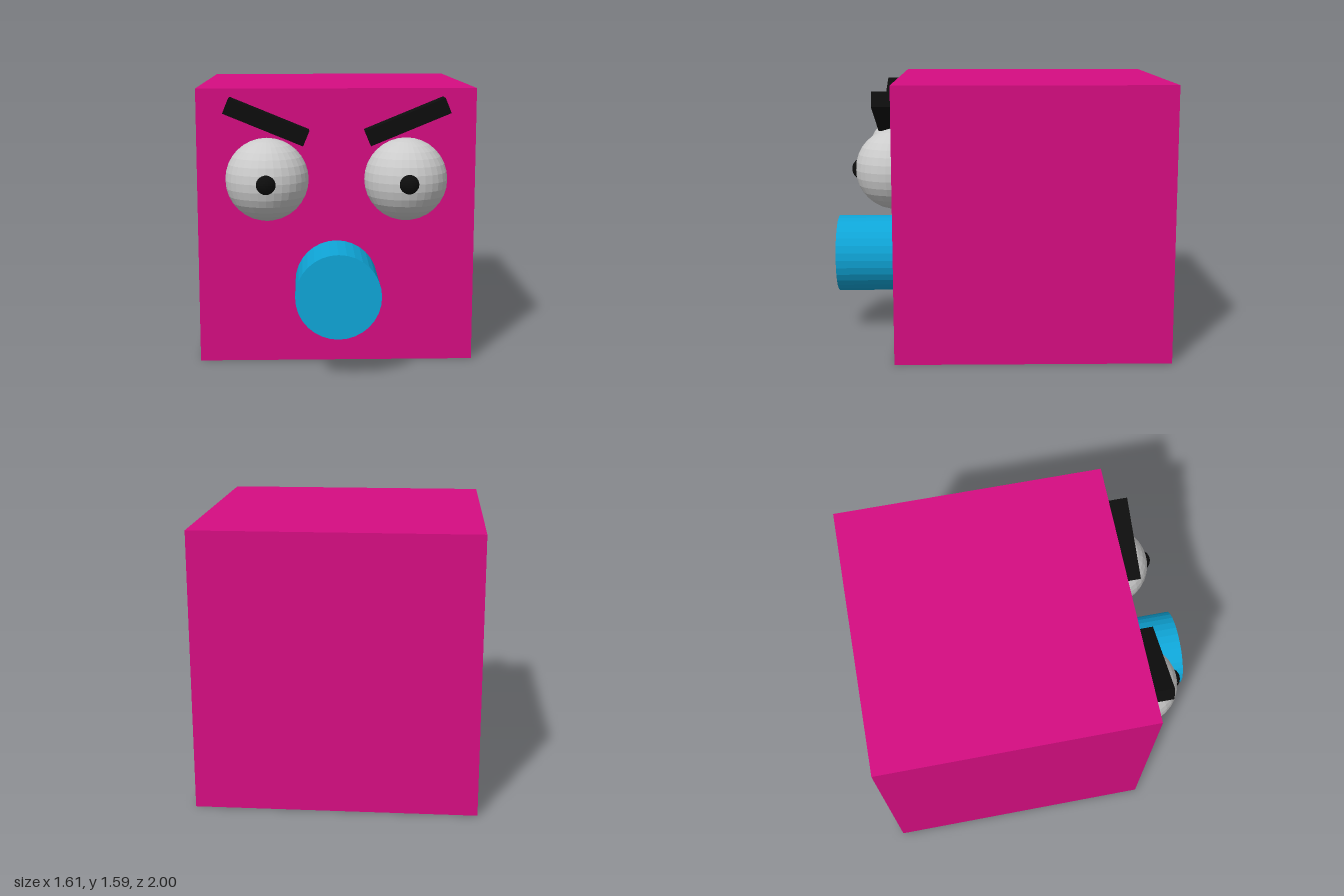
import * as THREE from 'three';

const material = (color) => new THREE.MeshStandardMaterial({ color, flatShading: true });

export function createModel() {
  const model = new THREE.Group();
  model.name = 'cubeHead';

  const pink = material(0xd60d82);
  const black = material(0x0d0d0d);
  const blue = material(0x0fa6d8);
  const grey = material(0xcccccc);

  const size = 1.593;
  const face = size / 2; // plane of the face

  const add = (name, geometry, mat, x, y, z) => {
    const mesh = new THREE.Mesh(geometry, mat);
    mesh.name = name;
    mesh.position.set(x, y, z);
    model.add(mesh);
    return mesh;
  };

  // Cube head, standing on the ground
  add('head', new THREE.BoxGeometry(size, size, size), pink, 0, size / 2, 0);

  // Eyes, pupils and slanted brows, mirrored
  for (const [side, s] of [['left', 1], ['right', -1]]) {
    const x = s * 0.397;
    add(side + 'Eye', new THREE.SphereGeometry(0.238, 32, 16), grey, x, 1.076, face);
    add(side + 'Pupil', new THREE.SphereGeometry(0.065, 32, 16), black, x, 1.076, face + 0.195);
    const brow = add(side + 'Brow', new THREE.BoxGeometry(0.485, 0.092, 0.24), black, x, 1.412, face);
    brow.rotation.z = s * 0.39;
  }

  // Round nose pointing forward
  const nose = new THREE.CylinderGeometry(0.238, 0.238, 0.79, 32).rotateX(Math.PI / 2);
  add('nose', nose, blue, 0, 0.479, face);

  // The whole head is turned very slightly
  model.rotation.y = -0.01;
  model.position.set(-0.002, 0, -0.196);

  const root = new THREE.Group();
  root.name = 'model';
  root.add(model);
  return root;
}
